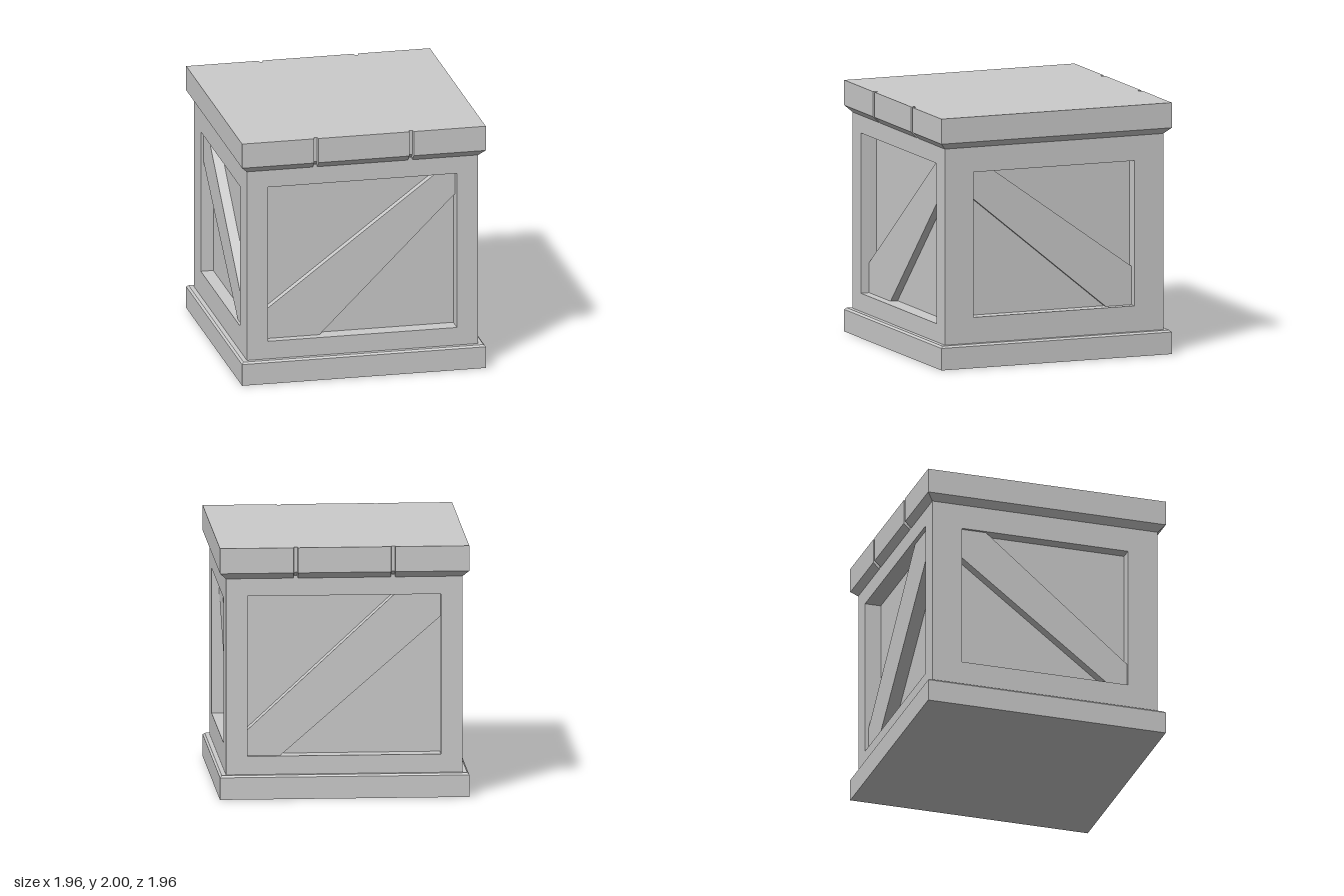
import * as THREE from 'three';

const material = new THREE.MeshStandardMaterial({ color: 0xcccccc, flatShading: true });

function part(name, geometry, parent) {
  const mesh = new THREE.Mesh(geometry, material);
  mesh.name = name;
  parent.add(mesh);
  return mesh;
}

const polygon = (points) => new THREE.Shape(points.map(([x, y]) => new THREE.Vector2(x, y)));
const extrude = (shape, depth) => new THREE.ExtrudeGeometry(shape, { depth, bevelEnabled: false });

// Square slab whose top or bottom may be narrower than the other end
function slab(y0, y1, half0, half1) {
  const geo = new THREE.BoxGeometry(2, y1 - y0, 2).translate(0, (y0 + y1) / 2, 0);
  const p = geo.attributes.position;
  for (let i = 0; i < p.count; i++) {
    const half = p.getY(i) > (y0 + y1) / 2 ? half1 : half0;
    p.setX(i, p.getX(i) * half);
    p.setZ(i, p.getZ(i) * half);
  }
  geo.computeVertexNormals();
  return geo;
}

// Lid outline with two notches in the front edge and two in the back edge
function lidOutline(h) {
  const edge = [[-h, -h]];
  for (const x of [-0.383, 0.383]) {
    edge.push([x - 0.018, -h], [x - 0.013, -h + 0.03], [x + 0.013, -h + 0.03], [x + 0.018, -h]);
  }
  edge.push([h, -h]);
  return polygon([...edge, ...edge.map(([x, y]) => [-x, -y])]);
}

// One framed side: a border around an opening, with a diagonal brace set inside
function sidePanel(name, { width, depth, out, angle, hole, brace, braceInset }) {
  const side = new THREE.Group();
  side.name = name;
  const [hx, y0, y1] = hole;
  const frame = polygon([[-width, 0.17], [width, 0.17], [width, 1.77], [-width, 1.77]]);
  frame.holes.push(new THREE.Path(
    [[-hx, y0], [-hx, y1], [hx, y1], [hx, y0]].map(([x, y]) => new THREE.Vector2(x, y))));
  part(name + 'Frame', extrude(frame, depth), side).position.z = out - depth;
  part(name + 'Brace', extrude(polygon(brace), depth - braceInset), side).position.z = out - depth;
  side.rotation.y = angle;
  return side;
}

export function createModel() {
  const crate = new THREE.Group();
  crate.name = 'crate';

  // Base with a small chamfer
  part('base', slab(0, 0.175, 0.98, 0.98), crate);
  part('baseChamfer', slab(0.175, 0.19, 0.98, 0.965), crate);

  // Recessed core behind the frames
  part('core', new THREE.BoxGeometry(1.66, 1.6, 1.6).translate(0, 0.97, 0), crate);

  // Four framed sides with diagonal braces
  const wide = { width: 0.93, depth: 0.13, out: 0.93, hole: [0.76, 0.335, 1.61] };
  const narrow = { width: 0.8, depth: 0.1, out: 0.93, hole: [0.685, 0.395, 1.55] };
  crate.add(
    sidePanel('front', { ...wide, angle: 0, braceInset: 0.07,
      brace: [[-0.76, 0.335], [-0.33, 0.335], [0.76, 1.42], [0.76, 1.61], [0.62, 1.61], [-0.76, 0.575]] }),
    sidePanel('back', { ...wide, angle: Math.PI, braceInset: 0.03,
      brace: [[-0.76, 0.335], [-0.5, 0.335], [0.76, 1.43], [0.76, 1.61], [0.4, 1.61], [-0.76, 0.54]] }),
    sidePanel('left', { ...narrow, angle: Math.PI / 2, braceInset: 0.06,
      brace: [[-0.685, 1.345], [0.465, 0.395], [0.685, 0.395], [0.685, 0.7], [-0.5, 1.55], [-0.685, 1.55]] }),
    sidePanel('right', { ...narrow, angle: -Math.PI / 2, braceInset: 0.02,
      brace: [[-0.685, 1.31], [0.52, 0.395], [0.685, 0.395], [0.685, 0.58], [-0.48, 1.55], [-0.685, 1.55]] }));

  // Notched lid
  part('lid', extrude(lidOutline(0.98), 0.2).rotateX(-Math.PI / 2).translate(0, 1.8, 0), crate);

  // Sloped underside of the lid, drawn in towards the body
  const slope = extrude(lidOutline(0.98), 0.05).rotateX(-Math.PI / 2).translate(0, 1.75, 0);
  const p = slope.attributes.position;
  for (let i = 0; i < p.count; i++) {
    if (p.getY(i) > 1.775) continue;
    const x = p.getX(i), z = p.getZ(i);
    p.setZ(i, z - 0.05 * Math.sign(z));
    if (Math.abs(x) > 0.9) p.setX(i, x - 0.05 * Math.sign(x));
  }
  slope.computeVertexNormals();
  part('lidSlope', slope, crate);

  return crate;
}
